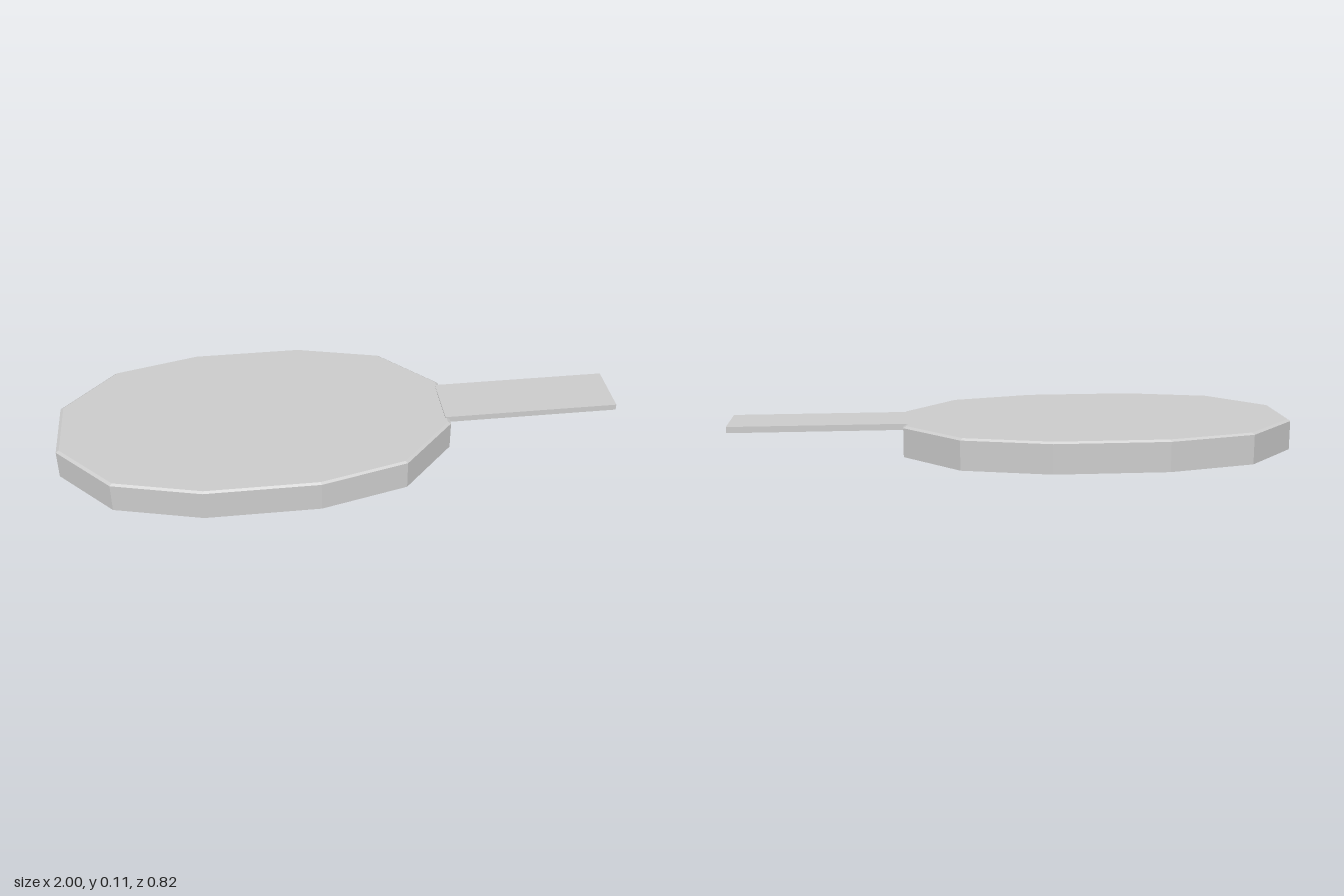
import * as THREE from 'three';

// Twelve-sided stretched outline, mirrored from one quadrant, at a given height and inset
function ring(y, inset) {
  const quadrant = [[0.693, 0.128], [0.503, 0.333], [0.198, 0.412]];
  const half = [...quadrant, ...quadrant.map(([x, z]) => [-x, z]).reverse()];
  const loop = [...half, ...half.map(([x, z]) => [x, -z]).reverse()];
  const k = 1 - inset;
  return loop.map(([x, z]) => [-0.307 + x * k, y, z * k]);
}

// Triangles joining consecutive rings, closed by a flat top
function shellGeometry(rings) {
  const positions = [];
  const n = rings[0].length;
  const tri = (...points) => points.forEach((p) => positions.push(...p));
  for (let r = 0; r < rings.length - 1; r++) {
    for (let i = 0; i < n; i++) {
      const j = (i + 1) % n;
      const low = rings[r], high = rings[r + 1];
      tri(low[i], high[i], high[j]);
      tri(low[i], high[j], low[j]);
    }
  }
  const top = rings[rings.length - 1];
  const center = [-0.307, top[0][1], 0];
  for (let i = 0; i < n; i++) tri(center, top[(i + 1) % n], top[i]);
  const geometry = new THREE.BufferGeometry();
  geometry.setAttribute('position', new THREE.Float32BufferAttribute(positions, 3));
  geometry.computeVertexNormals();
  return geometry;
}

export function createModel() {
  const group = new THREE.Group();
  const grey = new THREE.MeshStandardMaterial({
    name: 'light grey', color: 0xcccccc, flatShading: true, side: THREE.DoubleSide,
  });

  // Hollow body, open underneath, with a narrow bevel round the top
  const body = new THREE.Mesh(shellGeometry([ring(0, 0), ring(0.104, 0), ring(0.111, 0.016)]), grey);
  body.name = 'body';
  group.add(body);

  // Flat handle, level with the top
  const handle = new THREE.Mesh(new THREE.BoxGeometry(0.63, 0.022, 0.203), grey);
  handle.name = 'handle';
  handle.position.set(0.685, 0.103, 0);
  group.add(handle);

  return group;
}
